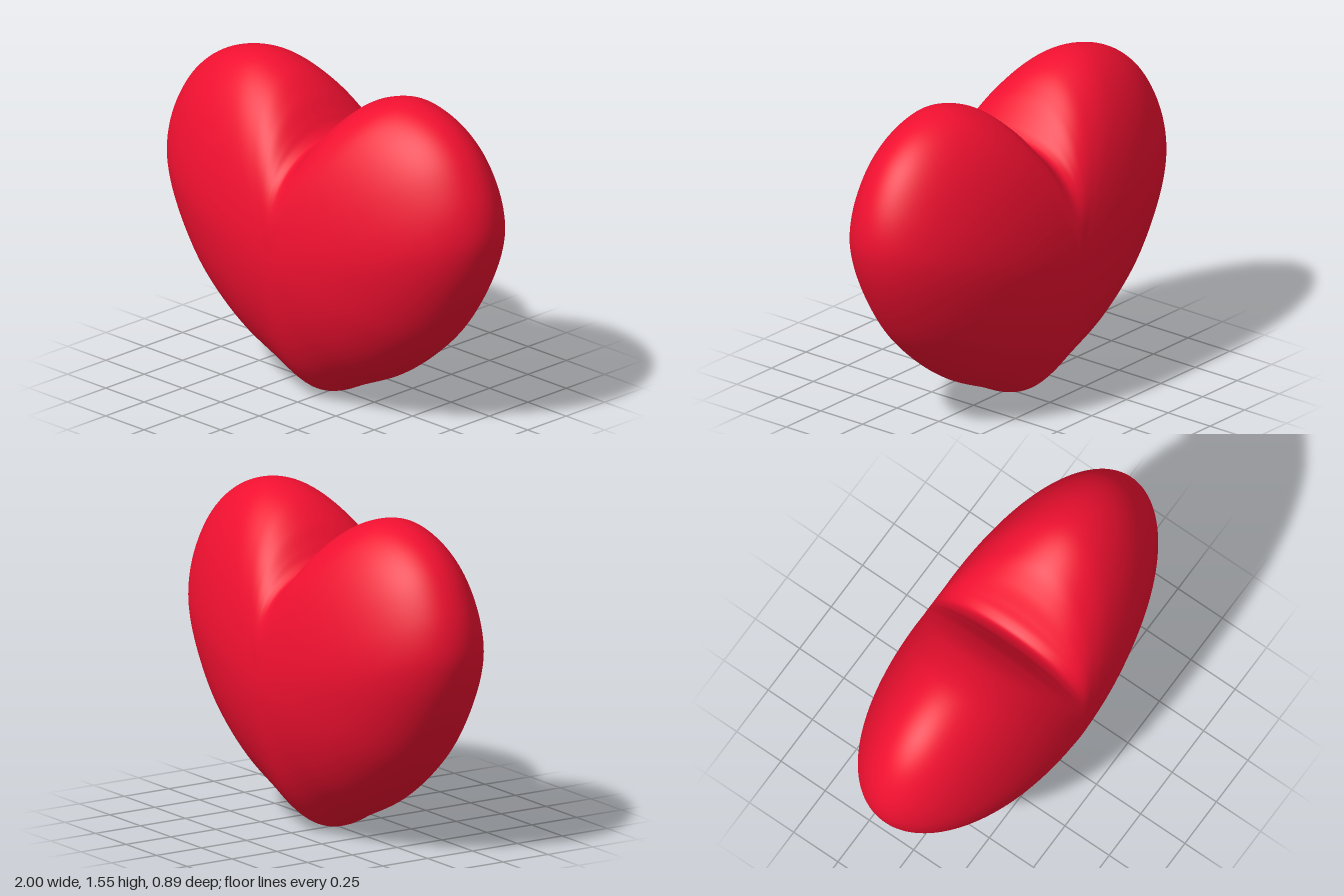
import * as THREE from 'three';
import { mergeVertices } from 'three/addons/utils/BufferGeometryUtils.js';

const CENTRE_Y = 0.76;
const HALF_DEPTH = 0.445;
const AROUND = 256;
const RINGS = 96;

// Half outline from the bottom tip to the dip: x, y, roundness of the section there
const HALF_OUTLINE = [
  [0, 0.003, 1.15], [0.07, 0.018, 1.14], [0.2, 0.08, 1.1], [0.42, 0.185, 1.05],
  [0.6, 0.315, 1.0], [0.76, 0.475, 0.96], [0.9, 0.695, 0.92], [0.98, 0.89, 0.9],
  [1, 1.03, 0.91], [0.963, 1.2, 0.94], [0.85, 1.385, 1.0], [0.685, 1.505, 1.05],
  [0.475, 1.556, 1.07], [0.29, 1.512, 1.03], [0.165, 1.425, 0.92],
  [0.085, 1.335, 0.8], [0.04, 1.284, 0.73], [0, 1.263, 0.7],
];

// Closed, mirrored outline; the curve's z carries the roundness
function outlineCurve() {
  const right = HALF_OUTLINE.map(([x, y, e]) => new THREE.Vector3(x, y, e));
  const left = right.slice(1, -1).reverse().map((p) => new THREE.Vector3(-p.x, p.y, p.z));
  return new THREE.CatmullRomCurve3([...right, ...left], true);
}

// Rings shrink from the outline to a pole at the front and at the back
function heartGeometry() {
  const curve = outlineCurve();
  const outline = Array.from({ length: AROUND }, (_, i) => curve.getPoint(i / AROUND));
  const positions = [];
  const indices = [];

  for (let j = 0; j <= RINGS; j++) {
    const phi = Math.PI * (0.5 - j / RINGS);
    const c = Math.max(0, Math.cos(phi));
    for (const p of outline) {
      const t = j === 0 || j === RINGS ? 0 : Math.pow(c, p.z);
      positions.push(p.x * t, CENTRE_Y + (p.y - CENTRE_Y) * t, HALF_DEPTH * Math.sin(phi));
    }
  }
  for (let j = 0; j < RINGS; j++) {
    for (let i = 0; i < AROUND; i++) {
      const next = (i + 1) % AROUND;
      const a = j * AROUND + i, b = j * AROUND + next;
      const c = a + AROUND, d = b + AROUND;
      if (j < RINGS - 1) indices.push(b, c, d);
      if (j > 0) indices.push(a, c, b);
    }
  }

  const geometry = new THREE.BufferGeometry();
  geometry.setAttribute('position', new THREE.Float32BufferAttribute(positions, 3));
  geometry.setIndex(indices);
  const welded = mergeVertices(geometry, 1e-6);
  welded.computeVertexNormals();
  return welded;
}

export function createModel() {
  const group = new THREE.Group();
  group.name = 'heartModel';
  const heart = new THREE.Mesh(
    heartGeometry(),
    new THREE.MeshStandardMaterial({ color: 0xf01030 })
  );
  heart.name = 'heart';
  group.add(heart);
  return group;
}
